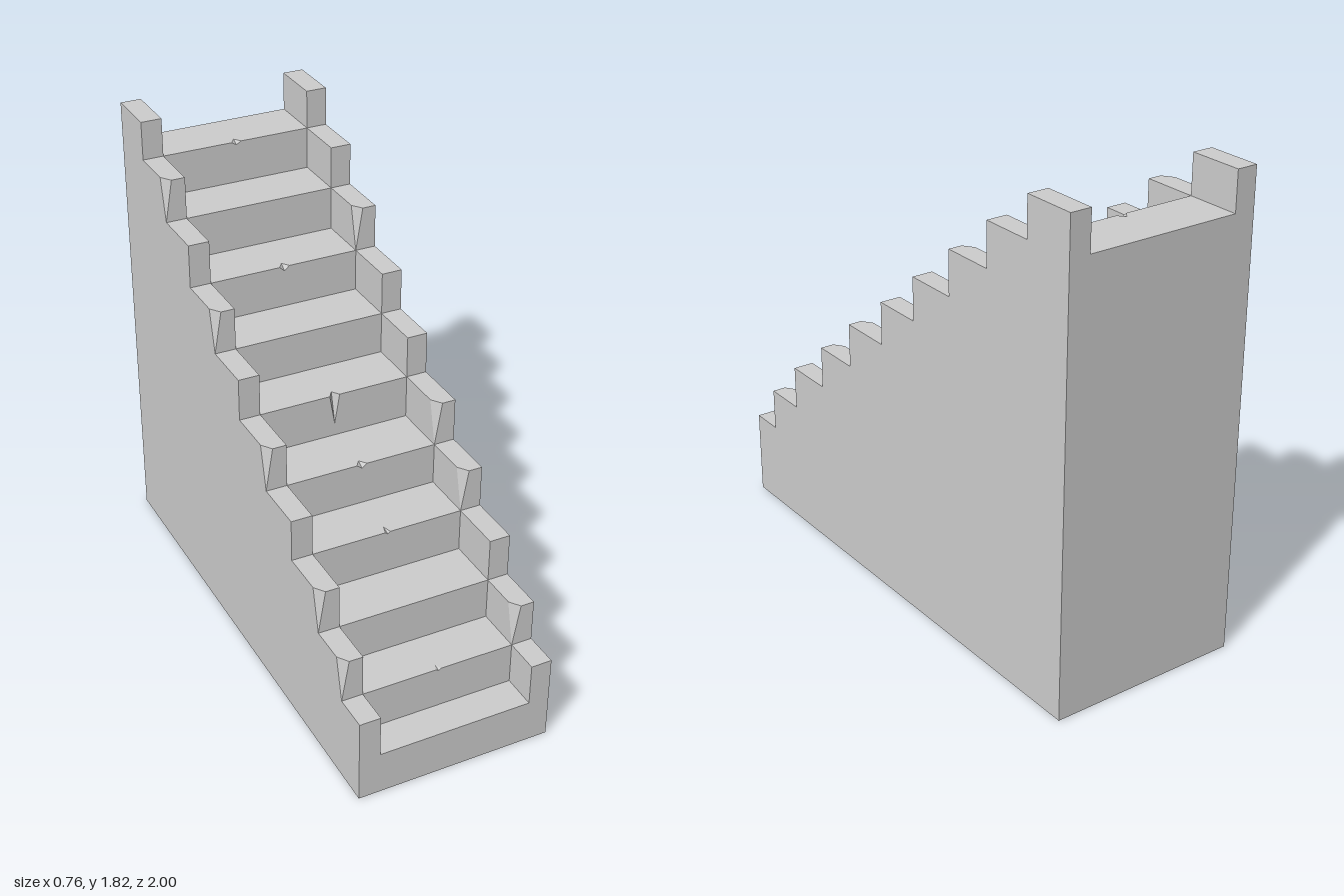
import * as THREE from 'three';

const HALF = 0.378, INNER = 0.297;
// front edge of each step, then the back of the flight
const Z = [1, 0.865, 0.685, 0.475, 0.27, 0.05, -0.155, -0.37, -0.58, -0.79, -1];
// tread heights; each side wall stands one level above its tread
const Y = [0.17, 0.335, 0.5, 0.67, 0.835, 1.005, 1.17, 1.335, 1.505, 1.67, 1.82];
const STEPS = 10;

// steps whose wall corner is chipped
const RIGHT_CHIPS = [1, 2, 4, 6, 8];
const LEFT_CHIPS = [1, 3, 4, 7];
// nicks in the tread edges: step -> [half width, drop, depth]
const NICKS = {
  1: [0.01, 0.006, 0.028], 3: [0.01, 0.008, 0.035], 4: [0.02, 0.015, 0.028],
  5: [0.02, 0.12, 0.028], 7: [0.02, 0.018, 0.028], 9: [0.02, 0.012, 0.028],
};

// flat convex (or fan-shaped) face, corners counter-clockwise from outside
function face(out, ...pts) {
  const [a, ...rest] = pts.map((p) => new THREE.Vector3(...p));
  for (let i = 0; i + 1 < rest.length; i++) {
    const tri = new THREE.Triangle(a, rest[i], rest[i + 1]);
    if (tri.getArea() < 1e-8) continue;
    for (const v of [a, rest[i], rest[i + 1]]) out.push(v.x, v.y, v.z);
  }
}

function part(name, out) {
  const geo = new THREE.BufferGeometry();
  geo.setAttribute('position', new THREE.Float32BufferAttribute(out, 3));
  geo.computeVertexNormals();
  const mesh = new THREE.Mesh(geo, new THREE.MeshStandardMaterial({ color: 0xcccccc, flatShading: true }));
  mesh.name = name;
  return mesh;
}

// treads and risers, with small wedge nicks at the edges
function buildSteps() {
  const out = [];
  for (let i = 0; i < STEPS; i++) {
    const z0 = Z[i], z1 = Z[i + 1], t = Y[i], low = i ? Y[i - 1] : 0;
    const [w, d, n] = NICKS[i] ?? [0, 0, 0];
    const tip = [0, t - d, z0], back = [0, t, z0 - n];
    const l = [-w, t, z0], r = [w, t, z0];
    face(out, tip, l, [-INNER, t, z0], [-INNER, low, z0], [INNER, low, z0], [INNER, t, z0], r);
    face(out, back, r, [INNER, t, z0], [INNER, t, z1], [-INNER, t, z1], [-INNER, t, z0], l);
    face(out, l, tip, back);
    face(out, tip, r, back);
  }
  return part('steps', out);
}

// stepped side wall from xa to xb, chipped along its -x edge
function buildWall(name, xa, xb, chips) {
  const out = [];
  for (let i = 0; i < STEPS; i++) {
    const z0 = Z[i], z1 = Z[i + 1], t = Y[i], h = Y[i + 1];
    const c = chips.includes(i) ? 0.028 : 0, k = c ? 0.04 : 0;
    const lowA = xa < 0 ? 0 : t, lowB = xb < 0 ? t : 0, lowF = i ? t : 0;
    // front, top, both sides, chip
    face(out, [xa, lowF, z0], [xb, lowF, z0], [xb, h, z0], [xa + c, h, z0]);
    face(out, [xa + c, h, z0], [xb, h, z0], [xb, h, z1], [xa, h, z1], [xa, h, z0 - k]);
    face(out, [xa, lowA, z1], [xa, lowA, z0], [xa, t, z0], [xa, h, z0 - k], [xa, h, z1]);
    face(out, [xb, lowB, z0], [xb, lowB, z1], [xb, h, z1], [xb, h, z0]);
    face(out, [xa, t, z0], [xa + c, h, z0], [xa, h, z0 - k]);
  }
  // back end
  face(out, [xb, 0, -1], [xa, 0, -1], [xa, Y[STEPS], -1], [xb, Y[STEPS], -1]);
  return part(name, out);
}

// back panel between the walls
function buildBack() {
  const out = [], h = Y[STEPS - 1];
  face(out, [INNER, 0, -1], [-INNER, 0, -1], [-INNER, h, -1], [INNER, h, -1]);
  return part('backPanel', out);
}

// underside
function buildBottom() {
  const out = [];
  face(out, [-HALF, 0, -1], [HALF, 0, -1], [HALF, 0, 1], [-HALF, 0, 1]);
  return part('underside', out);
}

export function createModel() {
  const group = new THREE.Group();
  group.name = 'staircase';
  group.add(
    buildSteps(),
    buildWall('rightWall', -HALF, -INNER, RIGHT_CHIPS),
    buildWall('leftWall', INNER, HALF, LEFT_CHIPS),
    buildBack(),
    buildBottom(),
  );
  return group;
}
